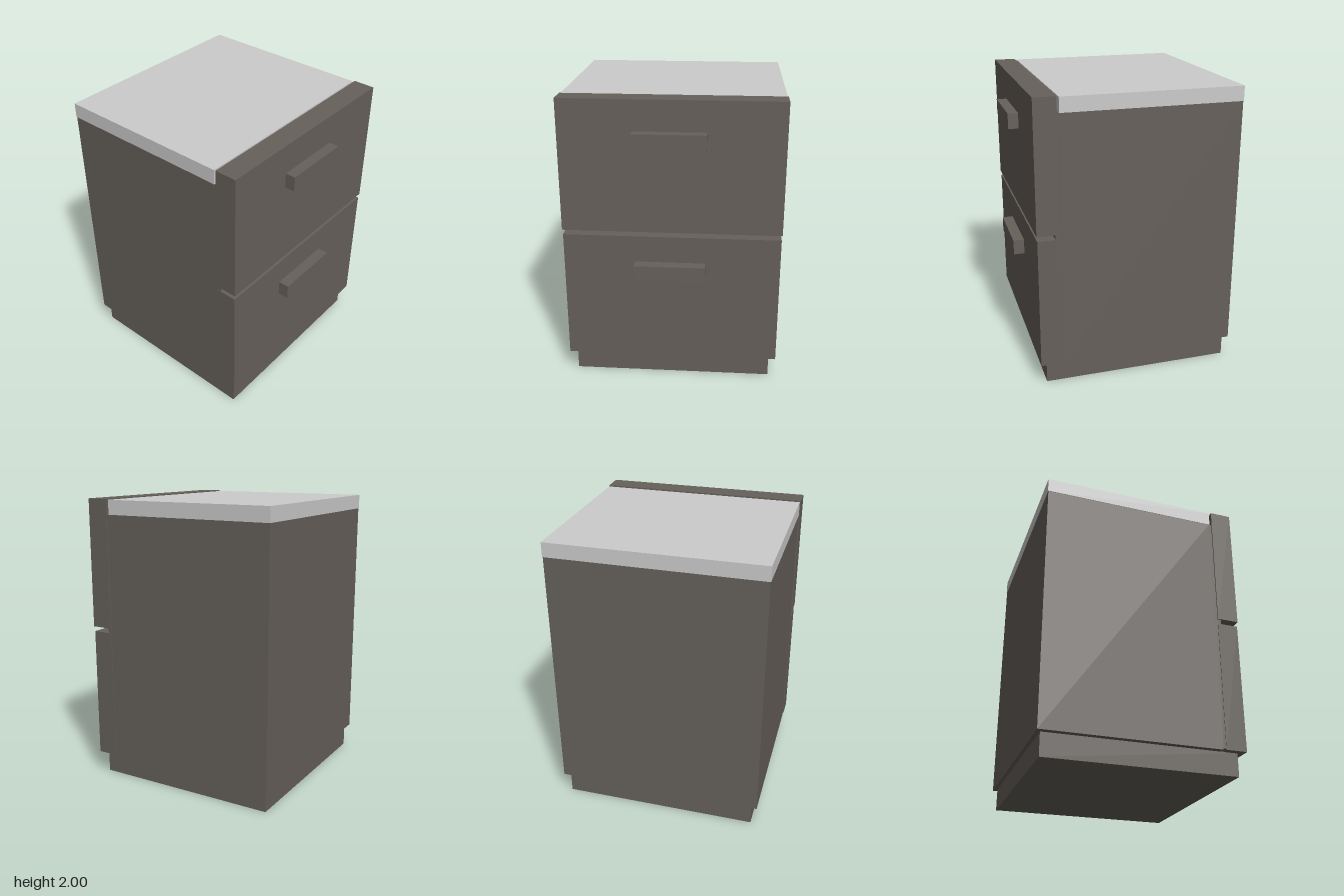
import * as THREE from 'three';

export function createModel() {
  const group = new THREE.Group();
  const dark = new THREE.MeshStandardMaterial({ color: 0x66605a });
  const grey = new THREE.MeshStandardMaterial({ color: 0xcccccc });

  // Box given by its extents on each axis
  function box(name, [x0, x1], [y0, y1], [z0, z1], material = dark) {
    const mesh = new THREE.Mesh(new THREE.BoxGeometry(x1 - x0, y1 - y0, z1 - z0), material);
    mesh.position.set((x0 + x1) / 2, (y0 + y1) / 2, (z0 + z1) / 2);
    mesh.name = name;
    group.add(mesh);
  }

  // Recessed base and cabinet body
  box('plinth', [-0.685, 0.685], [0, 0.16], [-0.70, 0.61]);
  box('carcass', [-0.727, 0.727], [0.157, 1.895], [-0.727, 0.49]);

  // Front frame behind the drawers
  box('frontPanel', [-0.6, 0.6], [0.165, 1.895], [0.49, 0.535]);
  box('rightStile', [-0.727, -0.6], [0.165, 1.895], [0.49, 0.535]);
  box('leftStile', [0.6, 0.727], [0.165, 1.895], [0.49, 0.535]);

  // Light top slab
  box('top', [-0.73, 0.73], [1.895, 1.995], [-0.73, 0.495], grey);

  // Drawer fronts, each with a bar handle
  const drawers = [
    { name: 'lower', x: 0.731, y: [0.157, 1.07], z: 0.655, handle: 0.78 },
    { name: 'upper', x: 0.735, y: [1.105, 2], z: 0.66, handle: 1.69 },
  ];
  for (const d of drawers) {
    box(d.name + 'DrawerFront', [-d.x, d.x], d.y, [0.51, d.z]);
    box(d.name + 'Handle', [-0.247, 0.23], [d.handle, d.handle + 0.105], [d.z, 0.73]);
  }

  return group;
}
